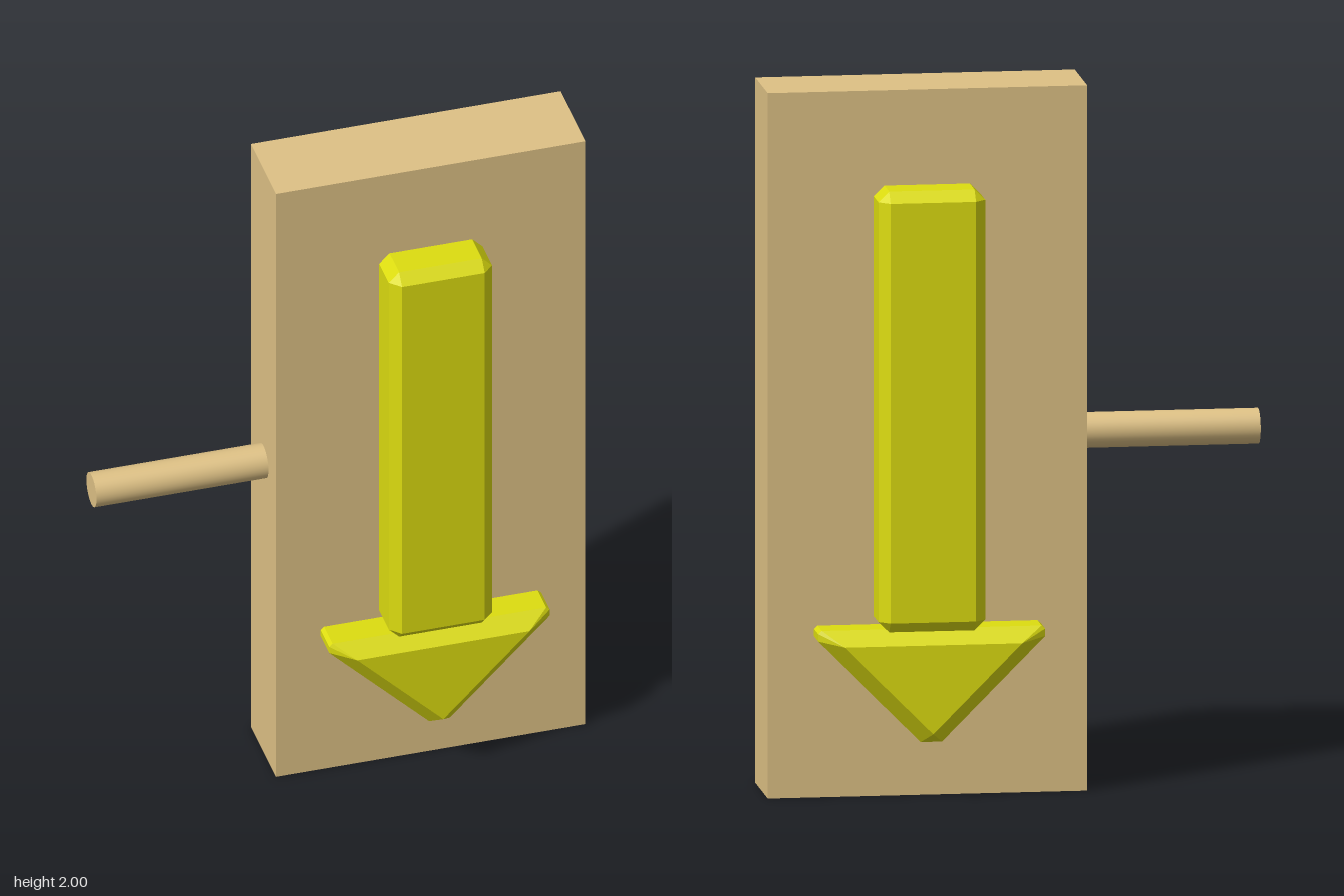
import * as THREE from 'three';
import { ConvexGeometry } from 'three/addons/geometries/ConvexGeometry.js';

const wood = new THREE.MeshStandardMaterial({ name: 'wood', color: 0xdec185 });
const yellow = new THREE.MeshStandardMaterial({ name: 'yellow', color: 0xdddd10 });

const ARROW_X = 0.25; // arrow centre line
const ARROW_Z = 0.25; // half depth of the arrow

// Convex solid from an outline and a smaller face, mirrored front to back
function bevelledSolid(name, outline, outlineZ, face) {
  const points = [];
  for (const side of [1, -1]) {
    for (const [x, y] of outline) points.push(new THREE.Vector3(x, y, side * outlineZ));
    for (const [x, y] of face) points.push(new THREE.Vector3(x, y, side * ARROW_Z));
  }
  const mesh = new THREE.Mesh(new ConvexGeometry(points), yellow);
  mesh.name = name;
  mesh.position.x = ARROW_X;
  return mesh;
}

// Adds the mirror image of each point across the arrow's centre line
const mirrored = (pts) => pts.flatMap(([x, y]) => [[x, y], [-x, y]]);

export function createModel() {
  const group = new THREE.Group();
  group.name = 'arrowSign';

  // Board
  const board = new THREE.Mesh(new THREE.BoxGeometry(0.9, 2, 0.25), wood);
  board.name = 'board';
  board.position.set(0.25, 1, 0);
  group.add(board);

  // Peg sticking out of the board's right edge
  const peg = new THREE.Mesh(new THREE.CylinderGeometry(0.05, 0.05, 0.5, 32), wood);
  peg.name = 'peg';
  peg.rotation.z = Math.PI / 2;
  peg.position.set(-0.45, 1, 0);
  group.add(peg);

  // Arrow shaft: a bar with every edge chamfered
  const w = 0.15, bottom = 0.48, top = 1.73, c = 0.03;
  group.add(bevelledSolid(
    'arrowShaft',
    mirrored([[w, bottom + c], [w - c, bottom], [w, top - c], [w - c, top]]),
    ARROW_Z - c,
    mirrored([[w - c, bottom + c], [w - c, top - c]])
  ));

  // Arrow head: a chamfered triangle pointing down
  group.add(bevelledSolid(
    'arrowHead',
    mirrored([[0.31, 0.487], [0.32, 0.478], [0.32, 0.457], [0.03, 0.165]]),
    0.21,
    [[-0.25, 0.445], [0.25, 0.445], [0, 0.193]]
  ));

  return group;
}
